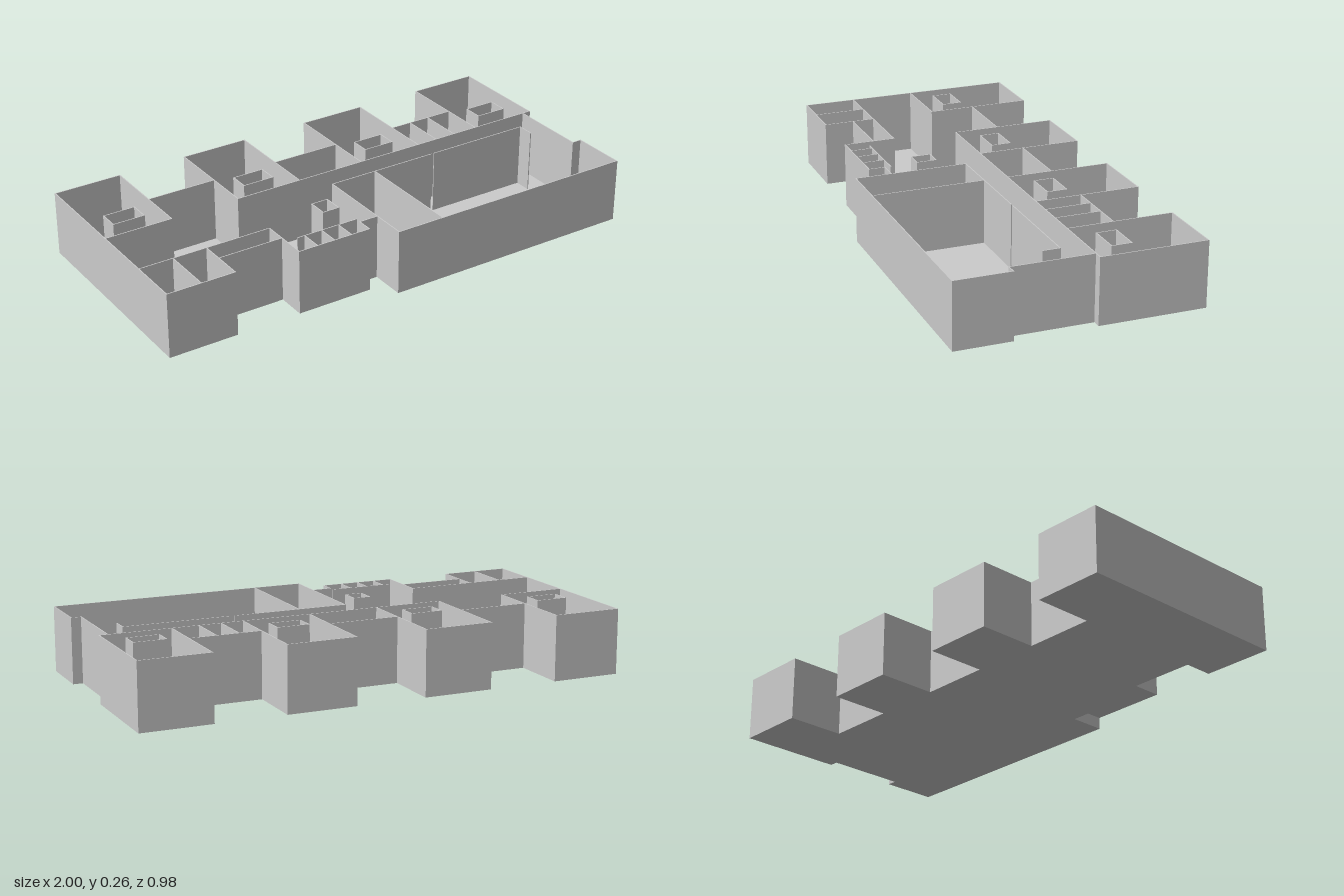
import * as THREE from 'three';

const H = 0.265; // wall height
const T = 0.004; // wall and floor thickness

export function createModel() {
  const model = new THREE.Group();
  model.name = 'buildingFloor';
  const mat = new THREE.MeshStandardMaterial({ color: 0xcccccc, flatShading: true, side: THREE.DoubleSide });

  // Upright wall between two plan points [x, z]
  function wall(name, x1, z1, x2, z2, parent = model) {
    const len = Math.hypot(x2 - x1, z2 - z1);
    const mesh = new THREE.Mesh(new THREE.BoxGeometry(len + T, H, T), mat);
    mesh.name = name;
    mesh.position.set((x1 + x2) / 2, H / 2, (z1 + z2) / 2);
    mesh.rotation.y = -Math.atan2(z2 - z1, x2 - x1);
    parent.add(mesh);
  }

  // Closed rectangular shaft
  function shaft(name, cx, cz, w, d) {
    const g = new THREE.Group();
    g.name = name;
    const x = w / 2, z = d / 2;
    for (const s of [-1, 1]) {
      wall('shaftSide', cx + s * x, cz - z, cx + s * x, cz + z, g);
      wall('shaftEnd', cx - x, cz + s * z, cx + x, cz + s * z, g);
    }
    model.add(g);
  }

  // Building outline in plan, starting at the back left corner of the plan
  const outline = [
    [-1, -0.49], [-0.72, -0.49], [-0.72, -0.25], [-0.43, -0.25],
    [-0.43, -0.49], [-0.15, -0.49], [-0.15, -0.25], [0.14, -0.25],
    [0.14, -0.49], [0.42, -0.49], [0.42, -0.25], [0.71, -0.25],
    [0.71, -0.49], [0.995, -0.49], [0.995, -0.065], [0.96, -0.065],
    [0.96, 0.265], [1, 0.265], [1, 0.49], [-0.06, 0.49],
    [-0.06, 0.345], [-0.14, 0.345], [-0.14, 0.41], [-0.45, 0.41],
    [-0.45, 0.29], [-0.72, 0.29], [-0.72, 0.41], [-1, 0.41],
  ];
  outline.forEach(([x, z], i) => {
    const [x2, z2] = outline[(i + 1) % outline.length];
    wall('outerWall', x, z, x2, z2);
  });

  // Floor slab
  const shape = new THREE.Shape(outline.map(([x, z]) => new THREE.Vector2(x, -z)));
  const floor = new THREE.Mesh(new THREE.ExtrudeGeometry(shape, { depth: T, bevelEnabled: false }), mat);
  floor.rotation.x = -Math.PI / 2;
  floor.name = 'floor';
  model.add(floor);

  // Four rear wings: closing wall to the corridor, side walls and a central shaft
  for (const [a, b] of [[-1, -0.72], [-0.43, -0.15], [0.14, 0.42], [0.71, 0.995]]) {
    wall('wingCorridorWall', a, -0.065, b, -0.065);
    if (a > -1) wall('wingSideWall', a, -0.25, a, -0.065);
    if (b < 0.9) wall('wingSideWall', b, -0.25, b, -0.065);
    shaft('wingShaft', (a + b) / 2, -0.185, 0.13, 0.08);
  }

  // Rooms between the wings
  wall('corridorWall', -0.15, -0.065, 0.14, -0.065);
  wall('corridorWall', 0.42, -0.065, 0.71, -0.065);
  for (const x of [0.51, 0.6]) wall('storePartition', x, -0.25, x, -0.065);

  // Front left rooms
  wall('frontRoomWall', -1, 0.2, -0.45, 0.2);
  wall('frontRoomPartition', -0.86, 0.2, -0.86, 0.41);
  wall('frontRoomPartition', -0.72, 0.2, -0.72, 0.29);

  // Washroom block with stalls
  wall('washroomWall', -0.45, 0.2, -0.45, 0.29);
  wall('washroomWall', -0.4, 0.32, -0.14, 0.32);
  for (const x of [-0.37, -0.295, -0.22]) wall('stallPartition', x, 0.32, x, 0.41);
  shaft('washroomShaft', -0.18, 0.167, 0.07, 0.08);

  // Large hall with side room
  wall('sideRoomWall', -0.06, 0.033, -0.06, 0.345);
  wall('sideRoomWall', -0.06, 0.033, 0.14, 0.033);
  wall('hallSideWall', 0.14, 0.033, 0.14, 0.49);
  wall('hallBackWall', 0.14, 0.033, 0.415, 0.033);
  wall('hallBackWall', 0.43, 0.033, 0.87, 0.033);
  wall('hallEndPartition', 0.87, 0.033, 0.87, 0.1);

  return model;
}
